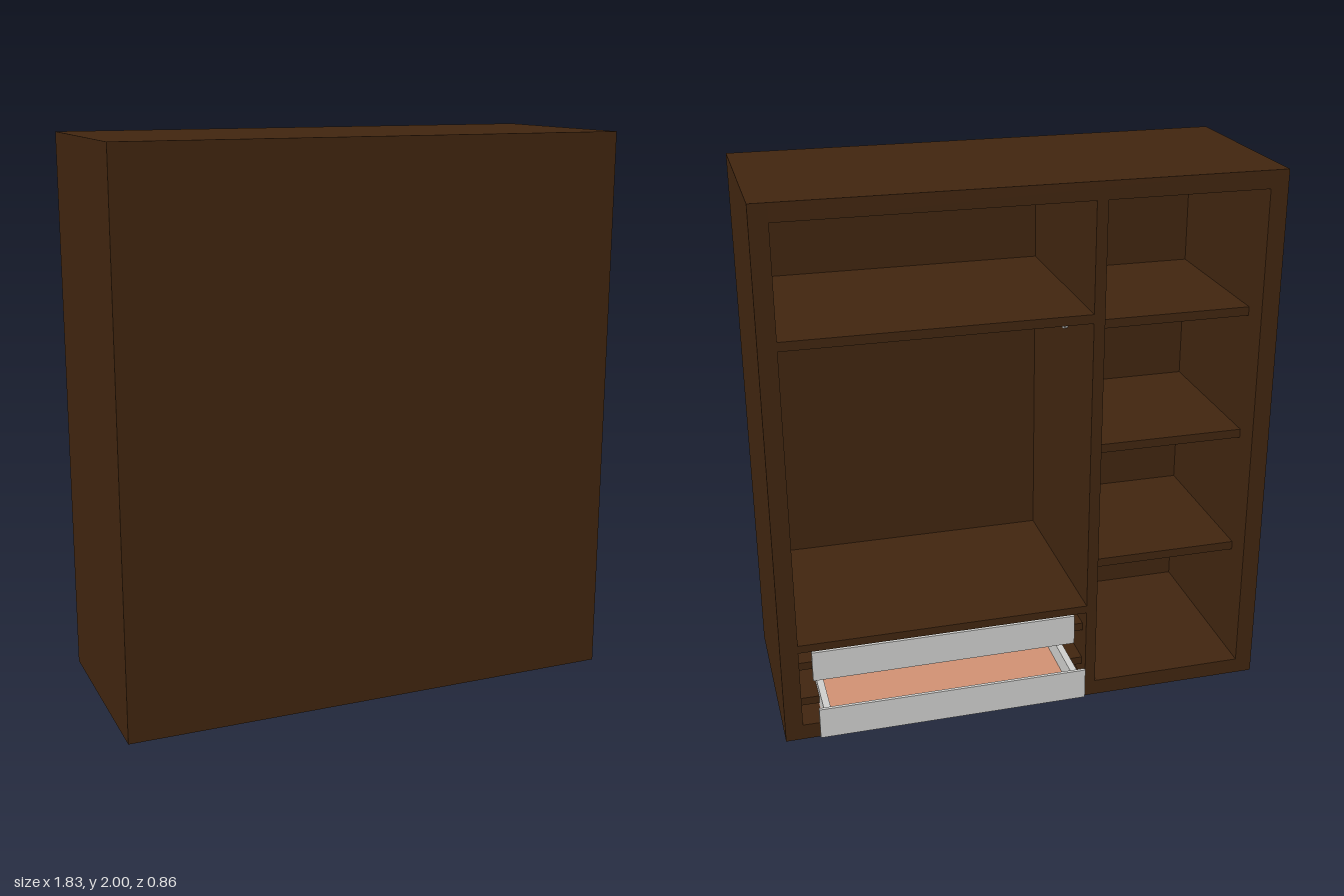
import * as THREE from 'three';

export function createModel() {
  const model = new THREE.Group();
  model.name = 'wardrobe';
  const wood = new THREE.MeshStandardMaterial({ color: 0x40250f });
  wood.name = 'dark wood';
  const metal = new THREE.MeshStandardMaterial({ color: 0xcdcdcb });
  metal.name = 'light grey';
  const base = new THREE.MeshStandardMaterial({ color: 0xd09072 });
  base.name = 'drawer base';

  // Box given by its minimum and maximum on each axis
  function box(parent, name, mat, x0, x1, y0, y1, z0, z1) {
    const mesh = new THREE.Mesh(new THREE.BoxGeometry(x1 - x0, y1 - y0, z1 - z0), mat);
    mesh.position.set((x0 + x1) / 2, (y0 + y1) / 2, (z0 + z1) / 2);
    mesh.name = name;
    parent.add(mesh);
    return mesh;
  }

  const W = 0.915, IN = 0.85, OPEN = -0.315, BACK = 0.43, INNER = 0.41;
  const DIV0 = -0.268, DIV1 = -0.228;

  // Carcass, open towards -z
  box(model, 'leftSide', wood, IN, W, 0, 2, OPEN, BACK);
  box(model, 'rightSide', wood, -W, -IN, 0, 2, OPEN, BACK);
  box(model, 'topPanel', wood, -IN, IN, 1.935, 2, OPEN, BACK);
  box(model, 'bottomPanel', wood, -IN, IN, 0, 0.06, OPEN, BACK);
  box(model, 'backPanel', wood, -IN, IN, 0.06, 1.935, INNER, BACK);
  box(model, 'divider', wood, DIV0, DIV1, 0.06, 1.935, OPEN, INNER);

  // Shelves of the wide bay, and recessed shelves of the narrow bay
  box(model, 'upperShelf', wood, DIV1, IN, 1.507, 1.54, OPEN, INNER);
  box(model, 'lowerShelf', wood, DIV1, IN, 0.365, 0.395, OPEN, INNER);
  for (const y of [0.527, 1.0, 1.48]) {
    box(model, 'sideShelf', wood, -IN, DIV0, y - 0.033, y, OPEN + 0.106, INNER);
  }

  // Hanging rail with end sockets
  const rail = new THREE.Group();
  rail.name = 'hangingRail';
  function rod(name, r, x0, x1) {
    const mesh = new THREE.Mesh(new THREE.CylinderGeometry(r, r, x1 - x0, 24), metal);
    mesh.rotation.z = Math.PI / 2;
    mesh.position.set((x0 + x1) / 2, 1.41, 0);
    mesh.name = name;
    rail.add(mesh);
  }
  rod('rod', 0.016, DIV1, IN);
  rod('socket', 0.024, DIV1, DIV1 + 0.014);
  rod('socket', 0.024, IN - 0.014, IN);
  model.add(rail);

  // Drawers: front plate, tray walls and coloured base
  function drawer(name, y, z) {
    const g = new THREE.Group();
    g.name = name;
    const depth = 0.62;
    box(g, 'drawerFront', metal, -0.19, 0.8, 0, 0.118, 0, 0.012);
    box(g, 'drawerBase', base, -0.168, 0.78, 0.012, 0.03, 0.012, depth);
    for (const x of [-0.168, 0.755]) {
      box(g, 'drawerSide', metal, x, x + 0.025, 0.03, 0.1, 0.012, depth);
    }
    box(g, 'drawerBack', metal, -0.143, 0.755, 0.03, 0.1, depth - 0.02, depth);
    g.position.set(0, y, z);
    model.add(g);
    // Runners fixed to the carcass
    box(model, 'runner', wood, 0.78, IN, y + 0.04, y + 0.07, -0.27, 0.38);
    box(model, 'runner', wood, DIV1, -0.168, y + 0.04, y + 0.07, -0.27, 0.38);
  }
  drawer('lowerDrawer', 0.075, -0.43);
  drawer('upperDrawer', 0.225, -0.29);

  return model;
}
